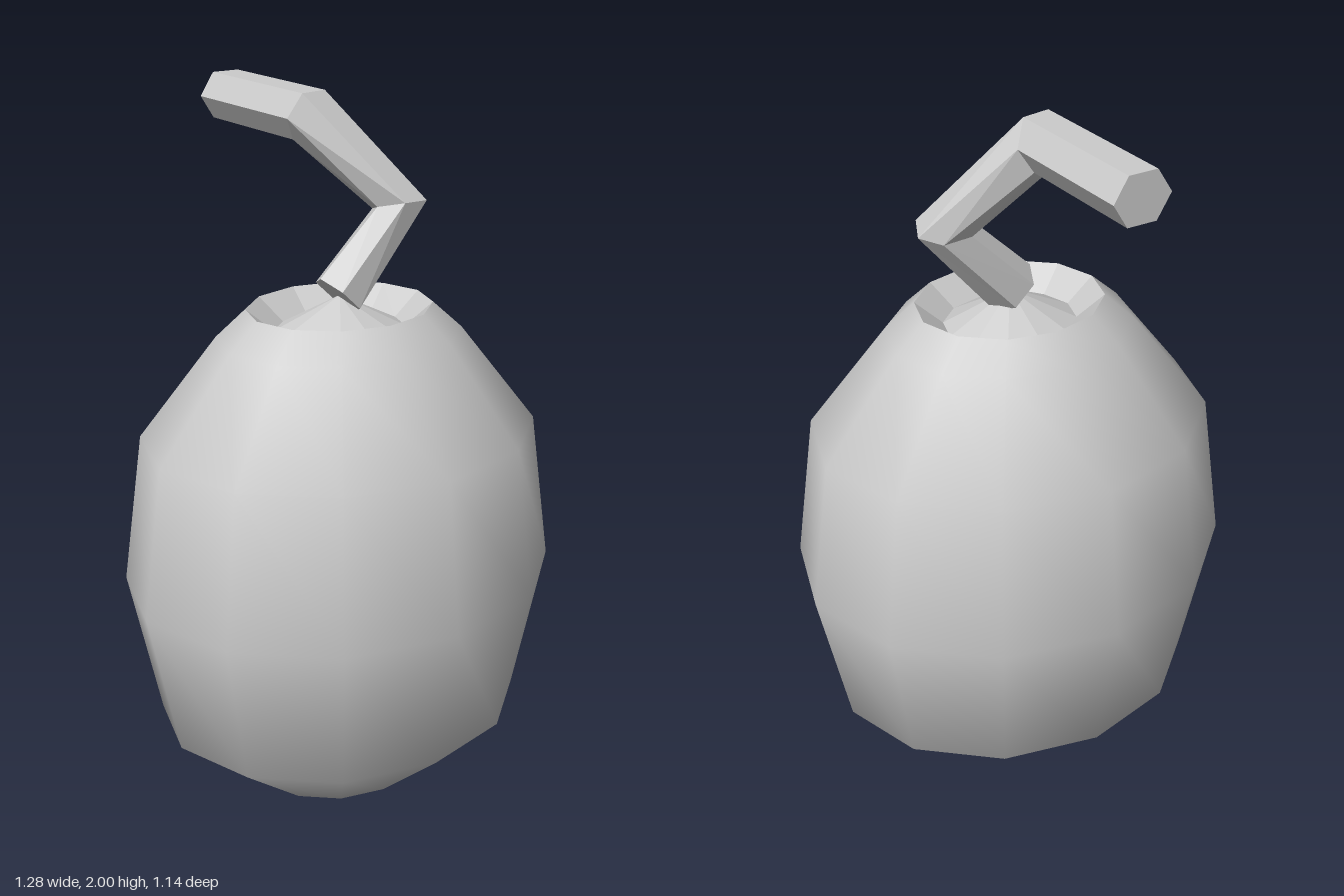
import * as THREE from 'three';

const v2 = (pairs) => pairs.map(([r, y]) => new THREE.Vector2(r, y));

// Twelve-sided lathe, squashed front to back
function squashedLathe(profile) {
  const g = new THREE.LatheGeometry(v2(profile), 12);
  g.scale(1, 1, 0.866);
  g.translate(0, 0, 0.013);
  return g;
}

function flat(g) {
  const f = g.index ? g.toNonIndexed() : g;
  f.computeVertexNormals();
  return f;
}

// Skin a list of hexagonal rings and close both ends
function skinRings(rings) {
  const pos = [];
  const n = rings[0].length;
  const tri = (a, b, c) => pos.push(...a, ...b, ...c);
  for (let r = 0; r < rings.length - 1; r++) {
    for (let i = 0; i < n; i++) {
      const j = (i + 1) % n;
      const [a, b, c, d] = [rings[r][i], rings[r][j], rings[r + 1][j], rings[r + 1][i]];
      tri(a, c, b);
      tri(a, d, c);
    }
  }
  const first = rings[0];
  const last = rings[rings.length - 1];
  for (let i = 1; i < n - 1; i++) {
    tri(first[0], first[i], first[i + 1]);
    tri(last[0], last[i + 1], last[i]);
  }
  const g = new THREE.BufferGeometry();
  g.setAttribute('position', new THREE.Float32BufferAttribute(pos, 3));
  return flat(g);
}

export function createModel() {
  const model = new THREE.Group();
  const grey = new THREE.MeshStandardMaterial({ color: 0xcccccc, side: THREE.DoubleSide });
  grey.name = 'light grey';
  const add = (name, geometry) => {
    const mesh = new THREE.Mesh(geometry, grey);
    mesh.name = name;
    model.add(mesh);
  };

  // Smooth rounded shell
  add('shell', squashedLathe([
    [0, 0], [0.26, 0], [0.547, 0.22], [0.64, 0.65], [0.58, 1.08], [0.355, 1.36], [0.27, 1.435],
  ]));

  // Faceted opening: bevel sloping inwards, then a low cone
  add('openingBevel', flat(squashedLathe([[0.27, 1.435], [0.19, 1.37]])));
  add('openingCone', flat(squashedLathe([[0.19, 1.37], [0, 1.465]])));

  // Bent hexagonal straw, from its foot to its mouth
  const foot = [
    [0.048, 1.41, 0.015], [0.02, 1.438, 0.08], [-0.037, 1.492, 0.08],
    [-0.065, 1.52, 0.015], [-0.037, 1.492, -0.05], [0.02, 1.438, -0.05],
  ];
  const lowerBend = [
    [0.285, 1.685, 0], [0.255, 1.705, 0.065], [0.17, 1.71, 0.08],
    [0.12, 1.695, 0.02], [0.15, 1.675, -0.045], [0.235, 1.67, -0.045],
  ];
  const upperBend = [
    [0.083, 1.935, -0.157], [0.043, 2, -0.12], [-0.04, 2, -0.105],
    [-0.083, 1.935, -0.115], [-0.042, 1.87, -0.15], [0.042, 1.87, -0.17],
  ];
  const mouth = upperBend.map(([x, y]) => [x, y, -0.57]);
  add('straw', skinRings([foot, lowerBend, upperBend, mouth]));

  return model;
}
